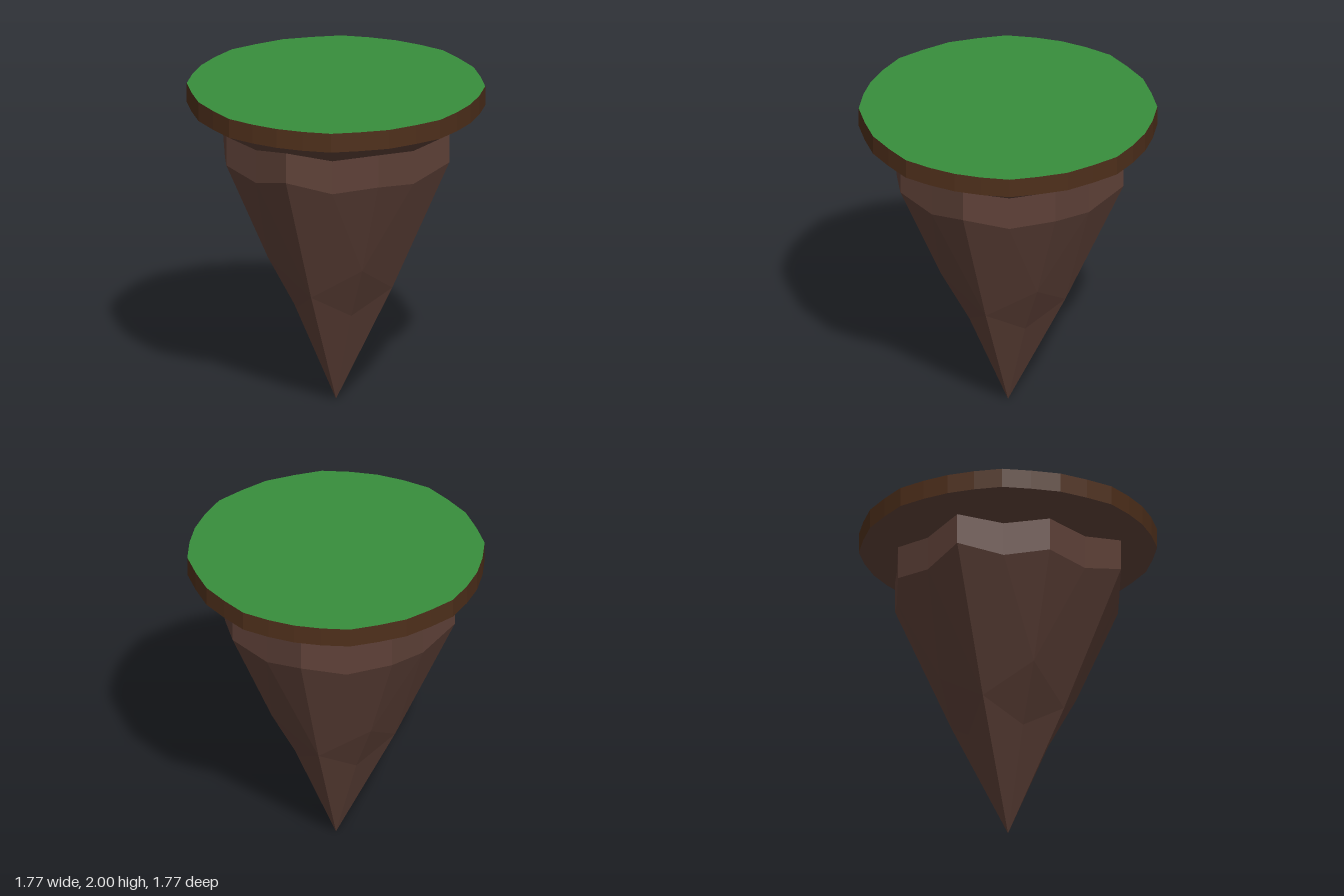
import * as THREE from 'three';

// Every part is described for one eighth of the turn (from the +z axis to the
// x = z diagonal) and then repeated by four rotations, each with a mirror.
function octantGeometry(tris) {
  const pos = [];
  for (let q = 0; q < 4; q++) {
    const c = Math.round(Math.cos(q * Math.PI / 2));
    const s = Math.round(Math.sin(q * Math.PI / 2));
    for (const side of [1, -1]) {
      for (const [a, b, d] of tris) {
        for (const [x, y, z] of side > 0 ? [a, b, d] : [a, d, b]) {
          pos.push(c * x * side + s * z, y, -s * x * side + c * z);
        }
      }
    }
  }
  const geo = new THREE.BufferGeometry();
  geo.setAttribute('position', new THREE.Float32BufferAttribute(pos, 3));
  geo.computeVertexNormals();
  return geo;
}

// Triangles between two rows of points running left to right
function strip(upper, lower) {
  const tris = [];
  for (let i = 0; i < upper.length - 1; i++) {
    tris.push([lower[i], lower[i + 1], upper[i + 1]], [lower[i], upper[i + 1], upper[i]]);
  }
  return tris;
}

const mid = (a, b) => a.map((v, i) => (v + b[i]) / 2);

function part(name, color, tris) {
  const material = new THREE.MeshStandardMaterial({ color, flatShading: true });
  const mesh = new THREE.Mesh(octantGeometry(tris), material);
  mesh.name = name;
  return mesh;
}

export function createModel() {
  const group = new THREE.Group();
  group.name = 'floatingIsland';
  const rock = 0x5d4037;

  // Outline of the flat top, shared by grass, soil and overhang
  const outline = [[0, 0.885], [0.165, 0.87], [0.335, 0.833], [0.483, 0.737], [0.627, 0.627]];
  const rim = y => outline.map(([x, z]) => [x, y, z]);
  const top = rim(2), under = rim(1.88);

  // Upper and lower edge of the rock collar: ridge, middle, diagonal
  const [A, M, D] = [[0, 1.8, 0.745], [0.25, 1.745, 0.62], [0.5, 1.78, 0.5]];
  const [a, m, d] = [[0, 1.61, 0.745], [0.25, 1.535, 0.62], [0.5, 1.575, 0.5]];

  // Points of the hanging spike
  const ridge = [0, 0.76, 0.37];
  const shoulder = [0.31, 0.955, 0.31];
  const hollow = [0.18, 0.61, 0.18];
  const tip = [0, 0, 0];

  // Grass surface
  const grass = [];
  for (let i = 0; i < 4; i++) grass.push([[0, 2, 0], top[i], top[i + 1]]);
  group.add(part('grassTop', 0x388e3c, grass));

  // Soil edge
  group.add(part('soilRim', 0x4e2f1b, strip(top, under)));

  // Sloped rock below the soil
  group.add(part('rockOverhang', rock, strip(under, [A, mid(A, M), M, mid(M, D), D])));

  // Upright rock collar
  group.add(part('rockCollar', rock, strip([A, M, D], [a, m, d])));

  // Faceted spike down to the tip
  group.add(part('rockSpike', rock, [
    [ridge, m, a],
    [ridge, shoulder, m],
    [shoulder, d, m],
    [ridge, hollow, shoulder],
    [ridge, tip, hollow],
  ]));

  return group;
}
